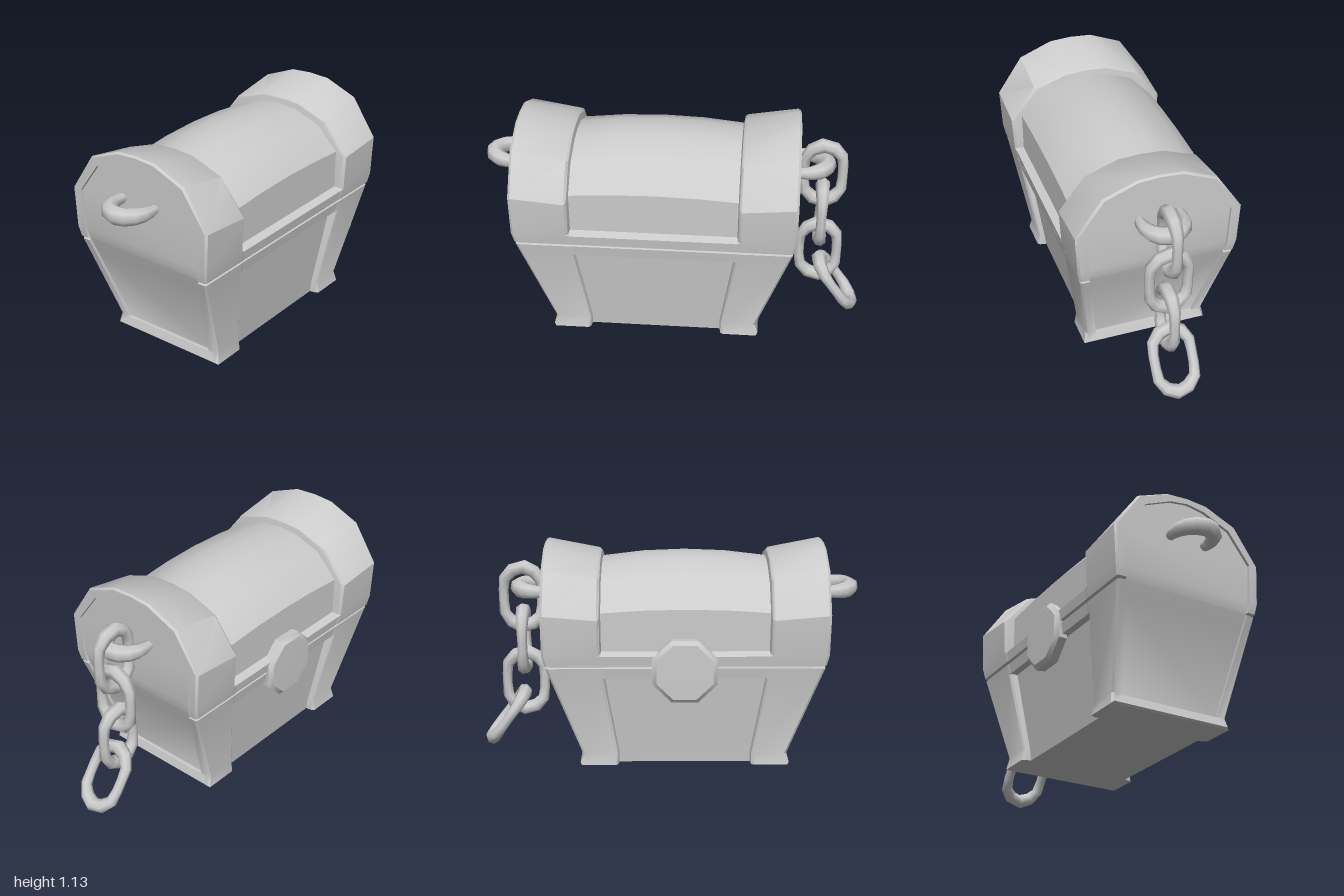
import * as THREE from 'three';
import { toCreasedNormals } from 'three/addons/utils/BufferGeometryUtils.js';

const MID = 0.083; // centre of the chest along z
const material = new THREE.MeshStandardMaterial({ color: 0xcccccc });

// Right half sections [x, y], from the base up to the ridge
const OUTER = [[0.335, 0.02], [0.325, 0.08], [0.391, 0.52], [0.391, 0.52], [0.4, 0.577], [0.388, 0.58], [0.388, 0.588],
  [0.405, 0.592], [0.415, 0.65], [0.415, 0.65], [0.425, 0.86], [0.29, 1.06], [0.115, 1.13], [0, 1.137]];
const BORDER = [[0.268, 0.075], [0.27, 0.08], [0.342, 0.52], [0.342, 0.52], [0.352, 0.577], [0.352, 0.58], [0.352, 0.588],
  [0.354, 0.592], [0.36, 0.65], [0.36, 0.65], [0.37, 0.86], [0.25, 1.02], [0.1, 1.085], [0, 1.1]];
const PANEL = [[0.288, 0.02], [0.295, 0.08], [0.35, 0.52], [0.388, 0.52], [0.398, 0.577], [0.388, 0.58], [0.388, 0.588],
  [0.403, 0.592], [0.411, 0.645], [0.37, 0.66], [0.37, 0.86], [0.25, 0.985], [0.1, 1.037], [0, 1.045]];

// Half length of the chest by height, with and without the lid seam
const END = [[0.02, 0.547], [0.08, 0.53], [0.577, 0.705], [0.58, 0.69], [0.588, 0.69], [0.592, 0.71], [0.65, 0.722], [1.2, 0.723]];
const END_PLAIN = END.filter((_, i) => i !== 3 && i !== 4);
// Inner edge of the end bands by height
const INNER = [[0.02, 0.347], [0.08, 0.347], [0.52, 0.415], [0.65, 0.43], [1.2, 0.432]];

function sample(table, y) {
  let i = 1;
  while (i < table.length - 1 && y > table[i][0]) i++;
  const [a, b] = [table[i - 1], table[i]];
  return THREE.MathUtils.lerp(a[1], b[1], THREE.MathUtils.clamp((y - a[0]) / (b[0] - a[0]), 0, 1));
}

const mix = (a, b, t) => a.map((p, i) => [p[0] + (b[i][0] - p[0]) * t, p[1] + (b[i][1] - p[1]) * t]);

// Full ring of 3D points from a half section and a rule for z
function ring(half, zOf) {
  const right = half.map(([x, y]) => [x, y, MID + zOf(y)]);
  return [...right, ...right.slice(0, -1).reverse().map(([x, y, z]) => [-x, y, z])];
}

function creased(triangles) {
  const geometry = new THREE.BufferGeometry();
  geometry.setAttribute('position', new THREE.Float32BufferAttribute(triangles.flat(), 3));
  geometry.computeVertexNormals();
  return toCreasedNormals(geometry, 0.62);
}

// Skin over rings ordered from +z to -z, closed along the underside
function loft(rings) {
  const tris = [];
  for (let r = 0; r < rings.length - 1; r++) {
    const n = rings[r].length;
    for (let i = 0; i < n; i++) {
      const j = (i + 1) % n;
      const [a, b, c, d] = [rings[r][i], rings[r][j], rings[r + 1][i], rings[r + 1][j]];
      tris.push(a, c, d, a, d, b);
    }
  }
  return creased(tris);
}

// Flat strips joining the two halves of a ring
function cap(points, front) {
  const tris = [];
  const last = points.length - 1;
  for (let i = 0; i < last / 2; i++) {
    const [a, b, c, d] = [points[i], points[i + 1], points[last - i - 1], points[last - i]];
    if (front) tris.push(a, b, c, a, c, d);
    else tris.push(a, c, b, a, d, c);
  }
  return creased(tris);
}

// Tube whose radius follows radiusAt(u, centre)
function taperedTube(curve, segments, closed, radiusAt) {
  const geometry = new THREE.TubeGeometry(curve, segments, 1, 7, closed);
  const pos = geometry.attributes.position;
  const v = new THREE.Vector3();
  for (let i = 0; i < pos.count; i++) {
    const u = Math.floor(i / 8) / segments;
    const centre = curve.getPointAt(u);
    v.fromBufferAttribute(pos, i).sub(centre).multiplyScalar(radiusAt(u, centre)).add(centre);
    pos.setXYZ(i, v.x, v.y, v.z);
  }
  geometry.computeVertexNormals();
  return toCreasedNormals(geometry, 1.2);
}

export function createModel() {
  const model = new THREE.Group();
  const add = (name, geometry) => {
    const mesh = new THREE.Mesh(geometry, material);
    mesh.name = name;
    model.add(mesh);
    return mesh;
  };

  // The lid part of each band slopes down toward the middle
  const innerHalf = OUTER.map(([x, y]) => [x, y > 0.65 ? y - 0.11 * (y - 0.65) : y]);

  for (const side of [1, -1]) {
    const prefix = side > 0 ? 'front' : 'back';

    // End band with legs, bevelled edges and a recessed border
    const recess = ring(BORDER, (y) => side * (sample(END_PLAIN, y) - 0.015));
    const rings = [
      recess,
      ring(BORDER, (y) => side * sample(END, y)),
      ring(mix(OUTER, BORDER, 0.18), (y) => side * sample(END, y)),
      ring(OUTER, (y) => side * (sample(END, y) - 0.012)),
      ring(innerHalf, (y) => side * (sample(INNER, y) + 0.012)),
      ring(mix(innerHalf, PANEL, 0.25), (y) => side * sample(INNER, y)),
      ring(PANEL, (y) => side * (sample(INNER, y) - 0.006)),
    ];
    add(prefix + 'Band', loft(side > 0 ? rings : rings.reverse()));
    add(prefix + 'EndPanel', cap(recess, side > 0));

    // Curved handle, thickest in the middle
    const z0 = MID + side * 0.69;
    const path = [[-0.1, 0], [-0.102, 0.08], [-0.065, 0.15], [0, 0.178], [0.065, 0.15], [0.102, 0.08], [0.1, 0]];
    const curve = new THREE.CatmullRomCurve3(path.map(([x, z]) => new THREE.Vector3(x, 0.893, z0 + side * z)));
    add(prefix + 'Handle', taperedTube(curve, 10, false, (u) => 0.022 + 0.024 * Math.sin(Math.PI * u)));
  }

  // Middle of the chest: side panels, rails and the gently bulging lid
  const middle = [1, 0.5, 0, -0.5, -1].map((t) => {
    const bulge = 0.035 * (1 - t * t);
    const half = PANEL.map(([x, y]) => [x, y > 0.7 ? y + bulge * (y - 0.66) / 0.385 : y]);
    const points = ring(half, () => 0);
    const edges = ring(PANEL, (y) => t * (sample(INNER, y) - 0.006));
    return points.map(([x, y], i) => [x, y, edges[i][2]]);
  });
  add('middleBody', loft(middle));

  // Eight-sided clasp on the right side
  const claspProfile = [[0.172, -0.035], [0.178, 0.012], [0.155, 0.03], [0, 0.032]].map((p) => new THREE.Vector2(...p));
  const claspGeometry = new THREE.LatheGeometry(claspProfile, 8).rotateY(Math.PI / 8).rotateZ(Math.PI / 2);
  const clasp = add('clasp', toCreasedNormals(claspGeometry, 0.6));
  clasp.position.set(-0.398, 0.565, 0.08);

  // Chain hanging from the back handle
  const linkPath = [[0.097, -0.085], [0.097, 0.085], [0.058, 0.14], [0, 0.163], [-0.058, 0.14],
    [-0.097, 0.085], [-0.097, -0.085], [-0.058, -0.14], [0, -0.163], [0.058, -0.14]];
  const linkCurve = new THREE.CatmullRomCurve3(linkPath.map(([x, y]) => new THREE.Vector3(x, y, 0)), true, 'catmullrom', 0.3);
  const linkGeometry = taperedTube(linkCurve, 14, true, (u, p) => 0.026 + 0.013 * (p.y / 0.163) ** 2);
  const links = [[0.84, -0.765, 0, Math.PI / 2], [0.605, -0.768, 0, 0], [0.373, -0.765, 0, Math.PI / 2], [0.175, -0.867, 0.62, 0]];
  links.forEach(([y, z, tilt, turn], i) => {
    const link = add('chainLink' + (i + 1), linkGeometry);
    link.position.set(0, y, z);
    link.rotation.set(tilt, turn, 0);
  });

  return model;
}
